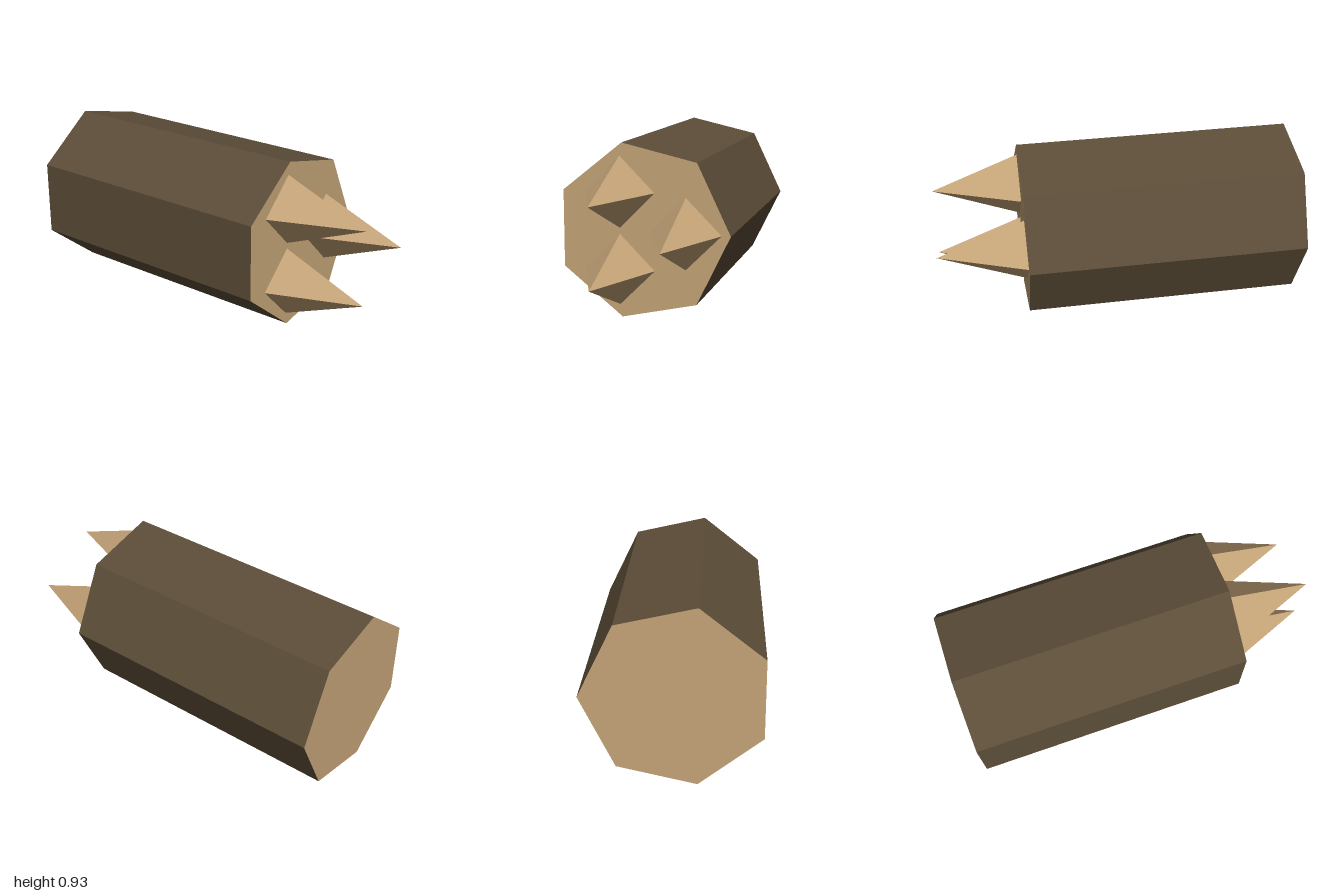
import * as THREE from 'three';

const bark = new THREE.MeshStandardMaterial({ color: 0x5c4d38 });
bark.name = 'dark bark';
const wood = new THREE.MeshStandardMaterial({ color: 0xc4a377 });
wood.name = 'pale wood';

// Lay an upright solid along +x and give it faceted normals
function facetedAlongX(geometry) {
  const flat = geometry.rotateZ(-Math.PI / 2).toNonIndexed();
  flat.computeVertexNormals();
  return flat;
}

export function createModel() {
  const model = new THREE.Group();
  model.name = 'spikedLog';

  const endX = 0.52;
  const midY = 0.464;

  // Seven-sided log: bark sides, bare wood at both ends
  const length = endX + 1;
  const log = new THREE.Mesh(
    facetedAlongX(new THREE.CylinderGeometry(0.476, 0.476, length, 7, 1, false, Math.PI)),
    [bark, wood, wood]
  );
  log.name = 'log';
  log.position.set(endX - length / 2, midY, 0.024);
  model.add(log);

  // Three four-sided spikes in a triangle on the right-hand end
  const spikeLength = 1 - endX;
  const spikeGeometry = facetedAlongX(new THREE.ConeGeometry(0.19, spikeLength, 4));
  [[0.206, 0.142], [-0.206, 0.142], [0, -0.214]].forEach(([y, z], i) => {
    const spike = new THREE.Mesh(spikeGeometry, wood);
    spike.name = `spike${i + 1}`;
    spike.position.set(endX + spikeLength / 2, midY + y, z);
    model.add(spike);
  });

  return model;
}
